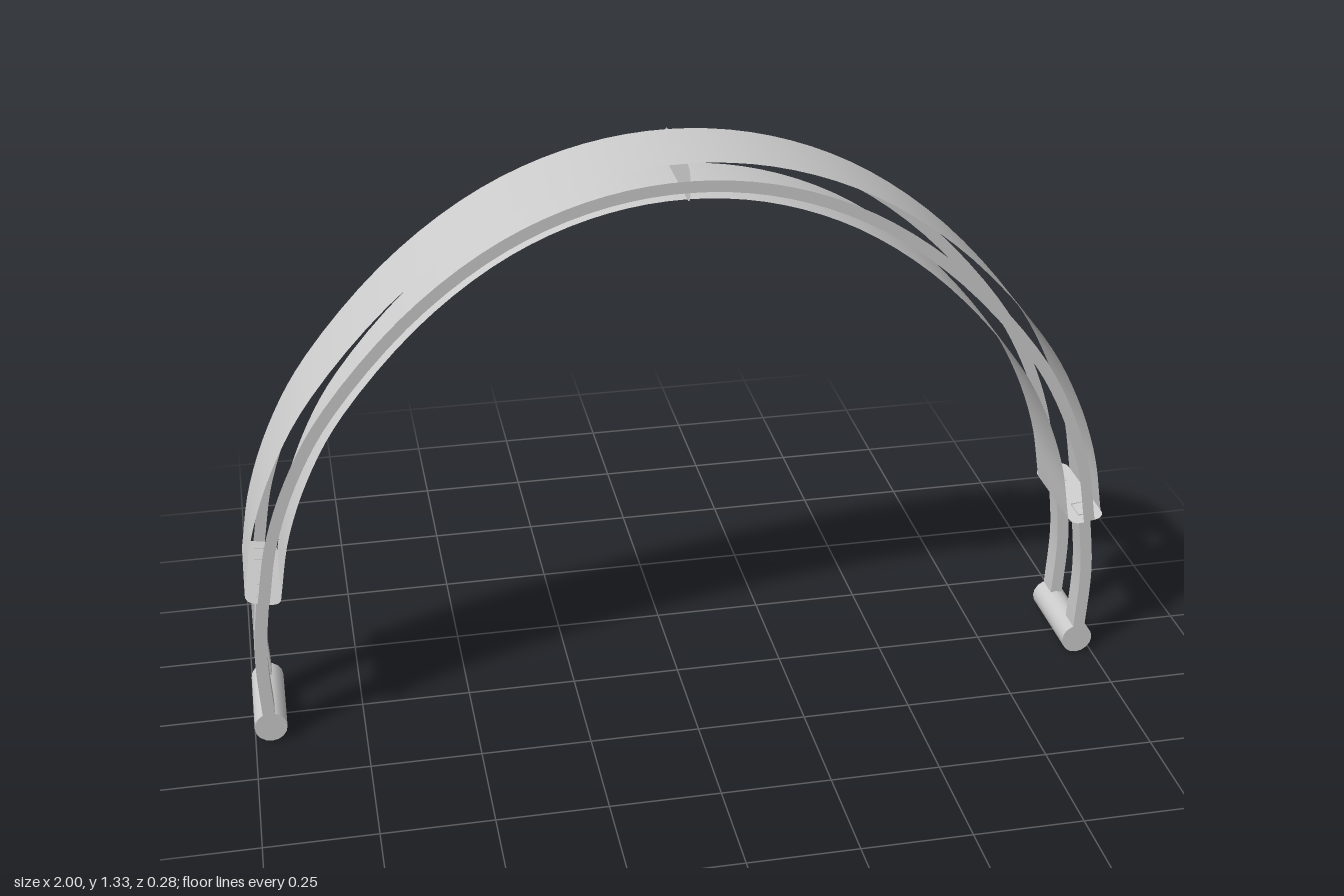
import * as THREE from 'three';

const material = new THREE.MeshStandardMaterial({ color: 0xcccccc, side: THREE.DoubleSide });
const HALF_WIDTH = 0.107;  // flat part of the band
const FULL_WIDTH = 0.14;   // including the rounded rim
const HALF_DEPTH = 0.04;   // band thickness / 2
const RIM = 0.013;         // half height of the side strips

const curve = (points) =>
  new THREE.CatmullRomCurve3(points.map(([x, y]) => new THREE.Vector3(x, y, 0)), false, 'centripetal');

// point on a path, shifted outwards by d and sideways to z
function offsetPoint(path, t, d, z) {
  const p = path.getPoint(t), g = path.getTangent(t);
  return new THREE.Vector3(p.x - g.y * d, p.y + g.x * d, z);
}

// smooth strip swept along a path between two [outward, z] corners
function ribbon(path, a, b, segments) {
  const positions = [], index = [];
  for (let i = 0; i <= segments; i++) {
    for (const [d, z] of [a, b]) positions.push(...offsetPoint(path, i / segments, d, z).toArray());
    if (i < segments) {
      const k = i * 2;
      index.push(k, k + 1, k + 2, k + 1, k + 3, k + 2);
    }
  }
  const geometry = new THREE.BufferGeometry();
  geometry.setAttribute('position', new THREE.Float32BufferAttribute(positions, 3));
  geometry.setIndex(index);
  geometry.computeVertexNormals();
  return geometry;
}

function add(parent, name, geometry) {
  const mesh = new THREE.Mesh(geometry, material);
  mesh.name = name;
  parent.add(mesh);
  return mesh;
}

// flat plate with rounded ends, set across the band
function plate(parent, name, path, t) {
  const w = FULL_WIDTH, f = HALF_WIDTH, h = HALF_DEPTH;
  const shape = new THREE.Shape();
  shape.moveTo(-f, -h);
  shape.lineTo(f, -h);
  shape.quadraticCurveTo(w, -h, w, -RIM);
  shape.lineTo(w, RIM);
  shape.quadraticCurveTo(w, h, f, h);
  shape.lineTo(-f, h);
  shape.quadraticCurveTo(-w, h, -w, RIM);
  shape.lineTo(-w, -RIM);
  shape.quadraticCurveTo(-w, -h, -f, -h);
  const mesh = add(parent, name, new THREE.ShapeGeometry(shape, 6));
  const g = path.getTangent(t);
  const across = new THREE.Vector3(0, 0, 1), out = new THREE.Vector3(-g.y, g.x, 0);
  mesh.applyMatrix4(new THREE.Matrix4().makeBasis(across, out, across.clone().cross(out)));
  mesh.position.copy(path.getPoint(t));
}

export function createModel() {
  const group = new THREE.Group();
  group.name = 'headband';

  // arch centreline, from the right end over the top to the left end
  const half = [[0.953, 0.383], [0.926, 0.53], [0.872, 0.68], [0.79, 0.825], [0.6, 1.04], [0.4, 1.185], [0.2, 1.264]];
  const arch = curve([...half.map(([x, y]) => [-x, y]), [0, 1.289], ...half.reverse()]);

  // outer and inner bands, with open rims between them and the side strips
  const f = HALF_WIDTH, w = FULL_WIDTH, h = HALF_DEPTH;
  add(group, 'outerBand', ribbon(arch, [h, -f], [h, f], 64));
  add(group, 'innerBand', ribbon(arch, [-h, f], [-h, -f], 64));
  add(group, 'frontStrip', ribbon(arch, [RIM, w], [-RIM, w], 64));
  add(group, 'backStrip', ribbon(arch, [-RIM, -w], [RIM, -w], 64));

  plate(group, 'rightEndPlate', arch, 0);
  plate(group, 'middlePlate', arch, 0.5);
  plate(group, 'leftEndPlate', arch, 1);

  for (const [side, s] of [['left', 1], ['right', -1]]) {
    // pair of bowed arms below the band
    const points = [[s * 0.953, 0.385], [s * 0.97, 0.23], [s * 0.965, 0.06]];
    const path = curve(s > 0 ? points : points.reverse());
    for (const [end, z0, z1] of [['Front', 0.054, f], ['Back', -f, -0.054]]) {
      const arm = new THREE.Group();
      arm.name = side + end + 'Arm';
      const d = 0.014;
      const corners = [[d, z0], [d, z1], [-d, z1], [-d, z0]];
      corners.forEach((c, i) => add(arm, 'armFace', ribbon(path, c, corners[(i + 1) % 4], 10)));
      group.add(arm);
    }

    // hinge pin joining the two arms
    const pin = add(group, side + 'HingePin', new THREE.CylinderGeometry(0.037, 0.037, f * 2, 16));
    pin.rotation.x = Math.PI / 2;
    pin.position.set(s * 0.963, 0.037, 0);
  }
  return group;
}
